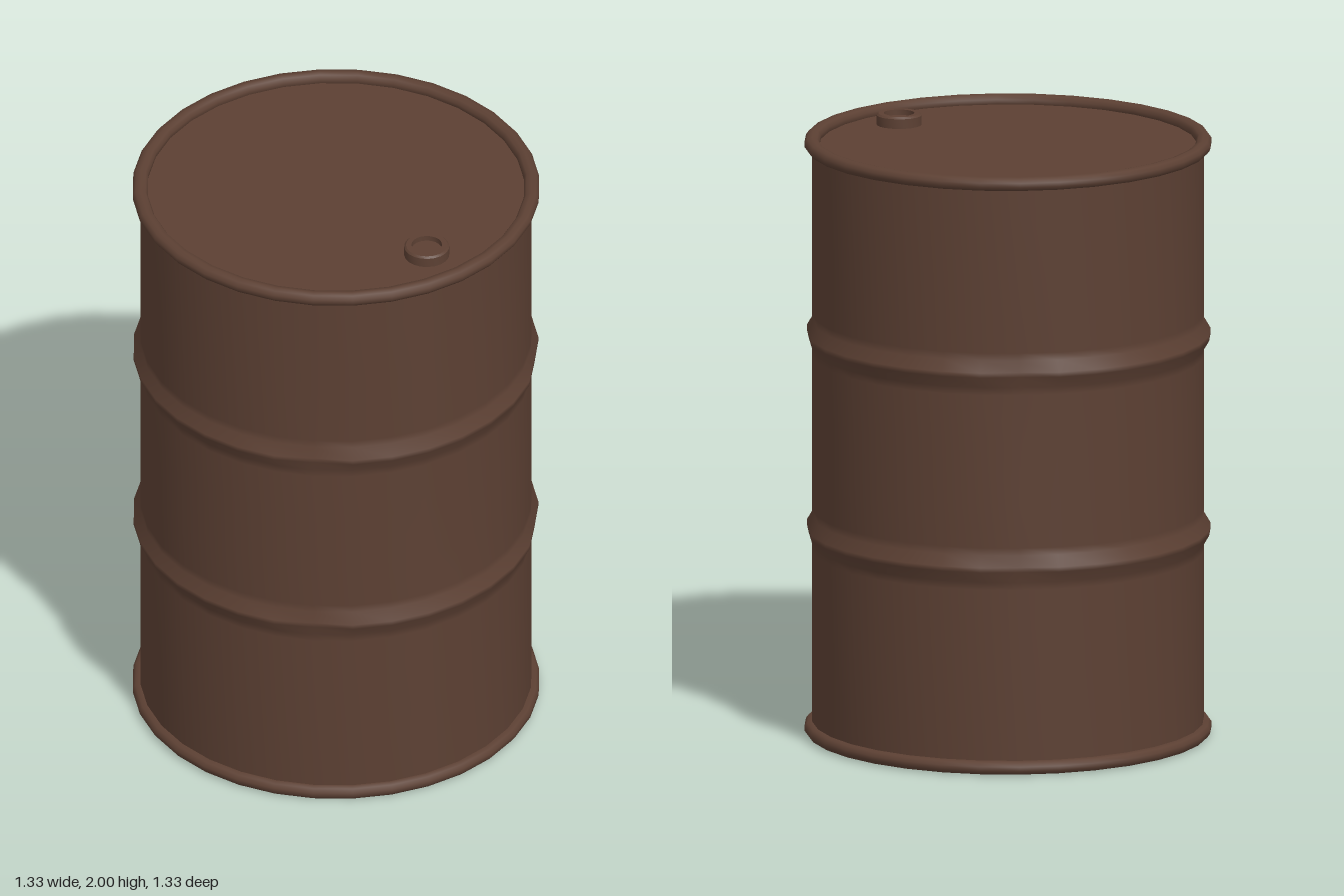
import * as THREE from 'three';
import { mergeVertices } from 'three/addons/utils/BufferGeometryUtils.js';

const SIDES = 32;
const BODY = 0.64;

// Smooth surface of revolution, with the seam welded
function lathe(points, sides = SIDES, deform) {
  let g = new THREE.LatheGeometry(points.map(([r, y]) => new THREE.Vector2(r, y)), sides);
  if (deform) deform(g.attributes.position);
  g.deleteAttribute('uv');
  g.deleteAttribute('normal');
  g = mergeVertices(g, 1e-5);
  g.computeVertexNormals();
  return g;
}

// Dents: angle from the front, height, half width (angle), half height, depth
const deg = Math.PI / 180;
const dents = [
  [135, 1.22, 14, 0.45, 0.008],
  [0, 0.95, 14, 0.3, 0.005],
  [-45, 1.6, 14, 0.3, 0.005],
];
for (const y of [0.685, 1.335]) {
  for (const a of [-45, 45, 135]) dents.push([a, y, 10, 0.04, 0.014]);
}

function dentWall(pos) {
  for (let i = 0; i < pos.count; i++) {
    const x = pos.getX(i), y = pos.getY(i), z = pos.getZ(i);
    const angle = Math.atan2(x, z);
    let push = 0;
    for (const [a, cy, w, h, depth] of dents) {
      const da = Math.abs(angle - a * deg) / (w * deg);
      const dy = Math.abs(y - cy) / h;
      if (da < 1 && dy < 1) push += depth * (1 - da) * (1 - dy);
    }
    const k = 1 - push / Math.hypot(x, z);
    pos.setXYZ(i, x * k, y, z * k);
  }
}

export function createModel() {
  const brown = new THREE.MeshStandardMaterial({ color: 0x5c4033 });
  brown.name = 'rusty brown';
  const barrel = new THREE.Group();
  barrel.name = 'barrel';

  const add = (name, geometry, y = 0, z = 0) => {
    const mesh = new THREE.Mesh(geometry, brown);
    mesh.name = name;
    mesh.position.set(0, y, z);
    barrel.add(mesh);
  };

  // Wall with two pressed ribs
  const wall = [[BODY, 0.03], [BODY, 0.34]];
  for (const y of [0.685, 1.335]) {
    wall.push([BODY, y - 0.07], [BODY, y - 0.045], [0.662, y - 0.008],
      [0.662, y + 0.008], [BODY, y + 0.045], [BODY, y + 0.07]);
    if (y < 1) wall.push([BODY, 0.9], [BODY, 1.1]);
  }
  wall.push([BODY, 1.65], [BODY, 1.96]);
  add('wall', lathe(wall, SIDES, dentWall));

  // Rolled rims
  const rim = [[BODY, 0], [0.656, 0.004], [0.665, 0.016], [0.665, 0.03], [0.656, 0.042],
    [BODY, 0.046], [0.624, 0.042], [0.616, 0.03], [0.616, 0.016], [0.624, 0.004], [BODY, 0]];
  add('bottomRim', lathe(rim), 0);
  add('topRim', lathe(rim), 1.948);

  // End discs, slightly recessed
  add('lid', lathe([[0.63, 1.962], [0, 1.962]]));
  add('base', lathe([[0, 0.01], [0.63, 0.01]]));

  // Bung with a shallow well and a grip bar across it
  const bung = new THREE.Group();
  bung.name = 'bung';
  bung.position.set(0, 1.96, 0.475);
  const parts = {
    bungWall: [[0.074, 0], [0.074, 0.034]],
    bungBevel: [[0.074, 0.034], [0.068, 0.04]],
    bungTop: [[0.068, 0.04], [0.05, 0.04]],
    bungWell: [[0.05, 0.04], [0.05, 0.022]],
    bungFloor: [[0.05, 0.022], [0, 0.022]],
  };
  for (const [name, profile] of Object.entries(parts)) {
    const mesh = new THREE.Mesh(lathe(profile, 20), brown);
    mesh.name = name;
    bung.add(mesh);
  }
  barrel.add(bung);

  return barrel;
}
